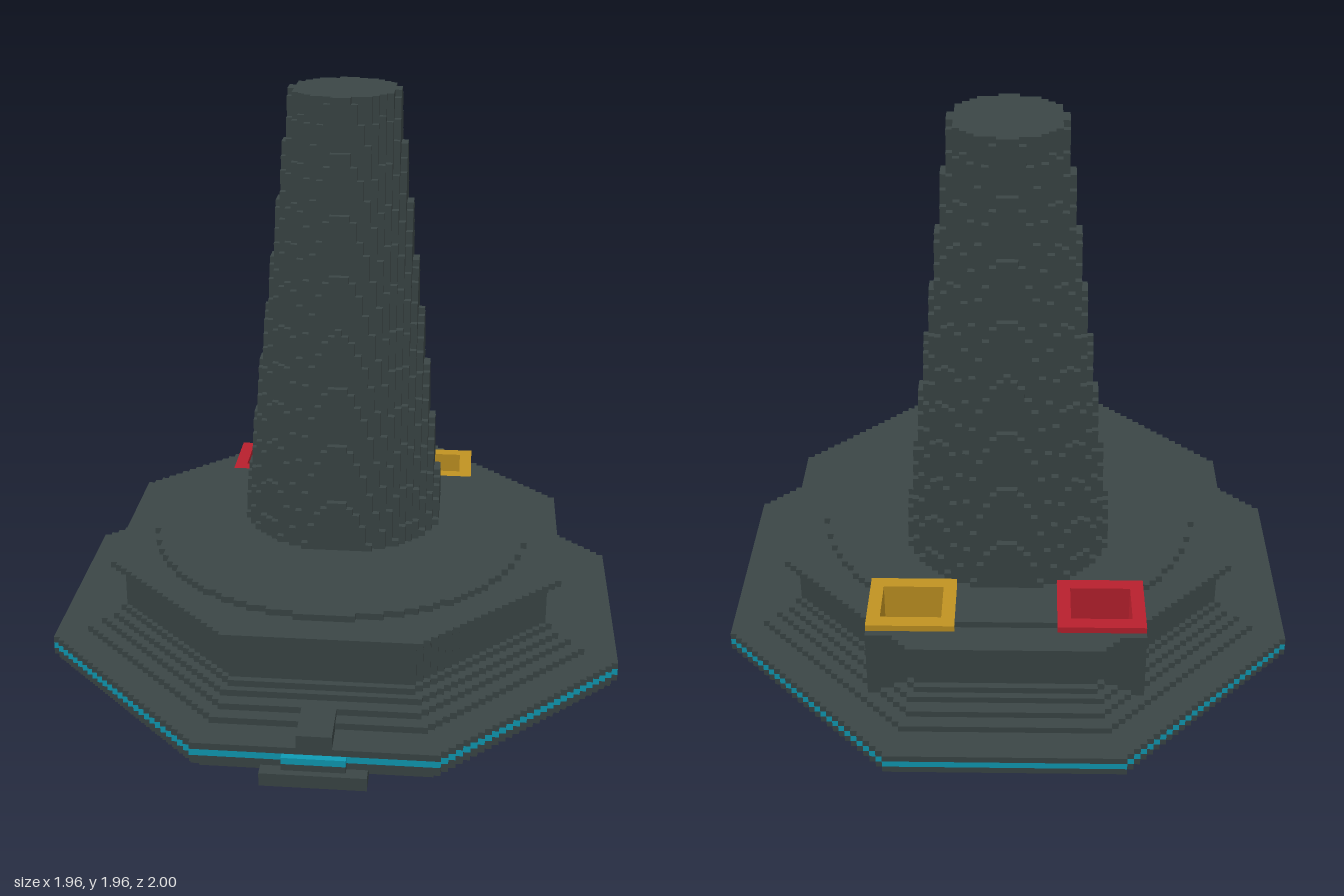
import * as THREE from 'three';

const U = 2 / 89;                       // edge of one cube
const NX = 91, NY = 89, NZ = 91;        // grid with an empty margin all round
const OX = 45, OY = 1, OZ = 45;         // grid position of cell (0, 0, 0)
const CZ = -1;                          // centre of the octagon in z
const TZ = -7;                          // centre of the tower in z

const grid = new Uint8Array(NX * NY * NZ);
const at = (i, j, k) => (k * NY + j) * NX + i;

// Fill every cell of a range (inclusive) that passes the test
function fill(id, [x0, x1], [y0, y1], [z0, z1], test = () => true) {
  for (let y = y0; y <= y1; y++)
    for (let z = z0; z <= z1; z++)
      for (let x = x0; x <= x1; x++)
        if (test(x, y, z)) grid[at(x + OX, y + OY, z + OZ)] = id;
}

// One or more octagonal layers of radius r
function octagon(id, r, y0, y1 = y0) {
  const diagonal = Math.floor(r * Math.SQRT2);
  fill(id, [-r, r], [y0, y1], [CZ - r, CZ + r],
    (x, y, z) => Math.abs(x) + Math.abs(z - CZ) <= diagonal);
}

// Exposed faces of one part, joined into strips
function partGeometry(id) {
  const size = [NX, NY, NZ], off = [OX, OY, OZ];
  const pos = [], nor = [], idx = [];
  const cell = [0, 0, 0];
  for (let a = 0; a < 3; a++) {
    const b = (a + 1) % 3, c = (a + 2) % 3;
    for (const s of [-1, 1]) {
      const exposed = () => {
        if (grid[at(...cell)] !== id) return false;
        cell[a] += s;
        const open = grid[at(...cell)] === 0;
        cell[a] -= s;
        return open;
      };
      const corner = (p, q, r) => {
        const v = [0, 0, 0], n = [0, 0, 0];
        v[a] = p; v[b] = q; v[c] = r; n[a] = s;
        pos.push((v[0] - off[0] - 0.5) * U, (v[1] - off[1]) * U, (v[2] - off[2] - 0.5) * U);
        nor.push(...n);
      };
      for (let p = 1; p < size[a] - 1; p++)
        for (let q = 1; q < size[b] - 1; q++) {
          let start = -1;
          for (let r = 1; r < size[c]; r++) {
            cell[a] = p; cell[b] = q; cell[c] = r;
            const on = r < size[c] - 1 && exposed();
            if (on && start < 0) start = r;
            if (!on && start >= 0) {
              const f = pos.length / 3, w = s > 0 ? p + 1 : p;
              corner(w, q, start); corner(w, q + 1, start);
              corner(w, q + 1, r); corner(w, q, r);
              if (s > 0) idx.push(f, f + 1, f + 2, f, f + 2, f + 3);
              else idx.push(f, f + 2, f + 1, f, f + 3, f + 2);
              start = -1;
            }
          }
        }
    }
  }
  const g = new THREE.BufferGeometry();
  g.setAttribute('position', new THREE.Float32BufferAttribute(pos, 3));
  g.setAttribute('normal', new THREE.Float32BufferAttribute(nor, 3));
  g.setIndex(idx);
  return g;
}

export function createModel() {
  const material = (name, color) => {
    const m = new THREE.MeshStandardMaterial({ color });
    m.name = name;
    return m;
  };
  const hull = material('dark slate', 0x3b4646);
  const cyan = material('cyan', 0x0f9bb5);
  const red = material('red', 0xb8202d);
  const amber = material('amber', 0xc09222);

  const BASE = 1, TRIM = 2, PLINTH = 3, BLOCK = 4, TOWER = 5, FRONT = 6, REDPAD = 7, AMBERPAD = 8;
  grid.fill(0);

  // Octagonal foot with its cyan band
  [41, 42, 43, 43, 43].forEach((r, y) => octagon(y === 3 ? TRIM : BASE, r, y));

  // Stepped plinth, neck, flared rim and round deck
  [38, 36, 34, 33].forEach((r, i) => octagon(PLINTH, r, 5 + i));
  octagon(PLINTH, 32, 9, 14);
  octagon(PLINTH, 33, 15);
  octagon(PLINTH, 34, 16);
  fill(PLINTH, [-29, 29], [17, 17], [CZ - 29, CZ + 29],
    (x, y, z) => Math.hypot(x, z - CZ) <= 29.4);

  // Square block at the back that carries the two pads
  fill(BLOCK, [-20, 20], [5, 16], [-32, -20]);
  fill(BLOCK, [-20, 20], [17, 17], [-30, -20]);

  // Tapering round tower
  fill(TOWER, [-16, 16], [18, 86], [TZ - 16, TZ + 16],
    (x, y, z) => Math.hypot(x, z - TZ) <= 8.1 + (86.5 - y) / 8.8);

  // Front lip, cyan tongue and ridge
  fill(FRONT, [-7, 7], [0, 1], [40, 44]);
  fill(FRONT, [-4, 4], [2, 2], [43, 43]);
  fill(TRIM, [-4, 4], [3, 3], [43, 43]);
  fill(FRONT, [-2, 2], [5, 6], [34, 42]);

  // Framed pits: coloured lining and rim, then the hollow
  for (const [id, side] of [[REDPAD, -1], [AMBERPAD, 1]]) {
    const span = (a, b) => (side > 0 ? [a, b] : [-b, -a]);
    fill(id, span(9, 19), [9, 16], [-30, -22]);
    fill(id, span(8, 20), [17, 17], [-31, -21]);
    fill(0, span(10, 18), [10, 17], [-29, -23]);
  }

  const group = new THREE.Group();
  group.name = 'towerOnPlinth';
  for (const [id, name, mat] of [
    [BASE, 'octagonalFoot', hull], [TRIM, 'cyanBand', cyan], [PLINTH, 'plinth', hull],
    [BLOCK, 'rearBlock', hull], [TOWER, 'tower', hull], [FRONT, 'frontLip', hull],
    [REDPAD, 'redPad', red], [AMBERPAD, 'amberPad', amber],
  ]) {
    const mesh = new THREE.Mesh(partGeometry(id), mat);
    mesh.name = name;
    group.add(mesh);
  }
  return group;
}
